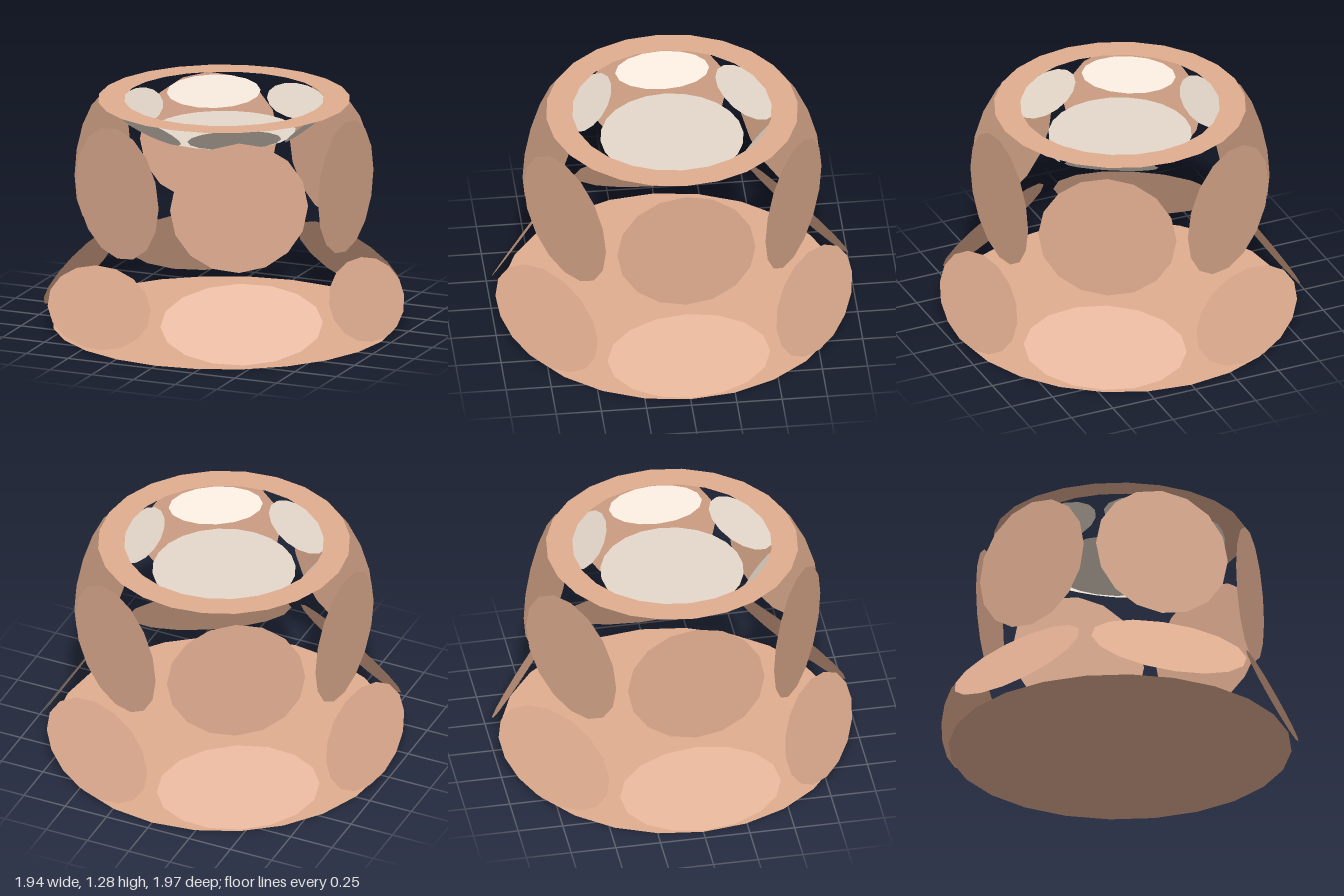
import * as THREE from 'three';

const tan = new THREE.MeshStandardMaterial({ color: 0xe0ad90, side: THREE.DoubleSide });
const cream = new THREE.MeshStandardMaterial({ color: 0xe4d8ca, side: THREE.DoubleSide });

// Flat horizontal piece facing up
function flat(name, geometry, material, y) {
  const mesh = new THREE.Mesh(geometry.rotateX(-Math.PI / 2), material);
  mesh.name = name;
  mesh.position.y = y;
  return mesh;
}

// Six elliptical discs around the axis; lean tips each disc's face towards the sky
function discRing(name, { halfWidth, halfHeight, radius, y, lean, inward, material }) {
  const ring = new THREE.Group();
  ring.name = name + 's';
  const geometry = new THREE.CircleGeometry(1, 16, Math.PI / 2);
  geometry.scale(halfWidth, halfHeight, 1);
  geometry.rotateX(-lean);
  if (inward) geometry.rotateY(Math.PI);
  geometry.translate(0, y, radius);
  for (let i = 0; i < 6; i++) {
    const disc = new THREE.Mesh(geometry, material);
    disc.name = name;
    disc.rotation.y = Math.PI / 2 + i * Math.PI / 3;
    ring.add(disc);
  }
  return ring;
}

export function createModel() {
  const model = new THREE.Group();
  model.name = 'discPavilion';

  // Floor, top rim and sunken top plate
  model.add(flat('baseDisc', new THREE.CircleGeometry(0.945, 24), tan, 0));
  model.add(flat('topRim', new THREE.RingGeometry(0.55, 0.695, 24), tan, 1.28));
  model.add(flat('innerDisc', new THREE.CircleGeometry(0.395, 24), cream, 1.1));

  // Leaning skirt, upright wall and funnel below the rim
  model.add(discRing('skirtDisc', {
    halfWidth: 0.45, halfHeight: 0.232, radius: 0.855, y: 0.23, lean: Math.PI / 6, material: tan,
  }));
  model.add(discRing('wallDisc', {
    halfWidth: 0.382, halfHeight: 0.37, radius: 0.73, y: 0.86, lean: 0, material: tan,
  }));
  model.add(discRing('funnelDisc', {
    halfWidth: 0.26, halfHeight: 0.106, radius: 0.5, y: 1.183, lean: -Math.PI / 4, inward: false, material: cream,
  }));

  // Turn the funnel faces inward and up
  model.getObjectByName('funnelDiscs').children.forEach((disc, i) => {
    if (i > 0) return;
    const g = disc.geometry, idx = g.index.array;
    for (let k = 0; k < idx.length; k += 3) [idx[k], idx[k + 1]] = [idx[k + 1], idx[k]];
    g.computeVertexNormals();
  });
  return model;
}
